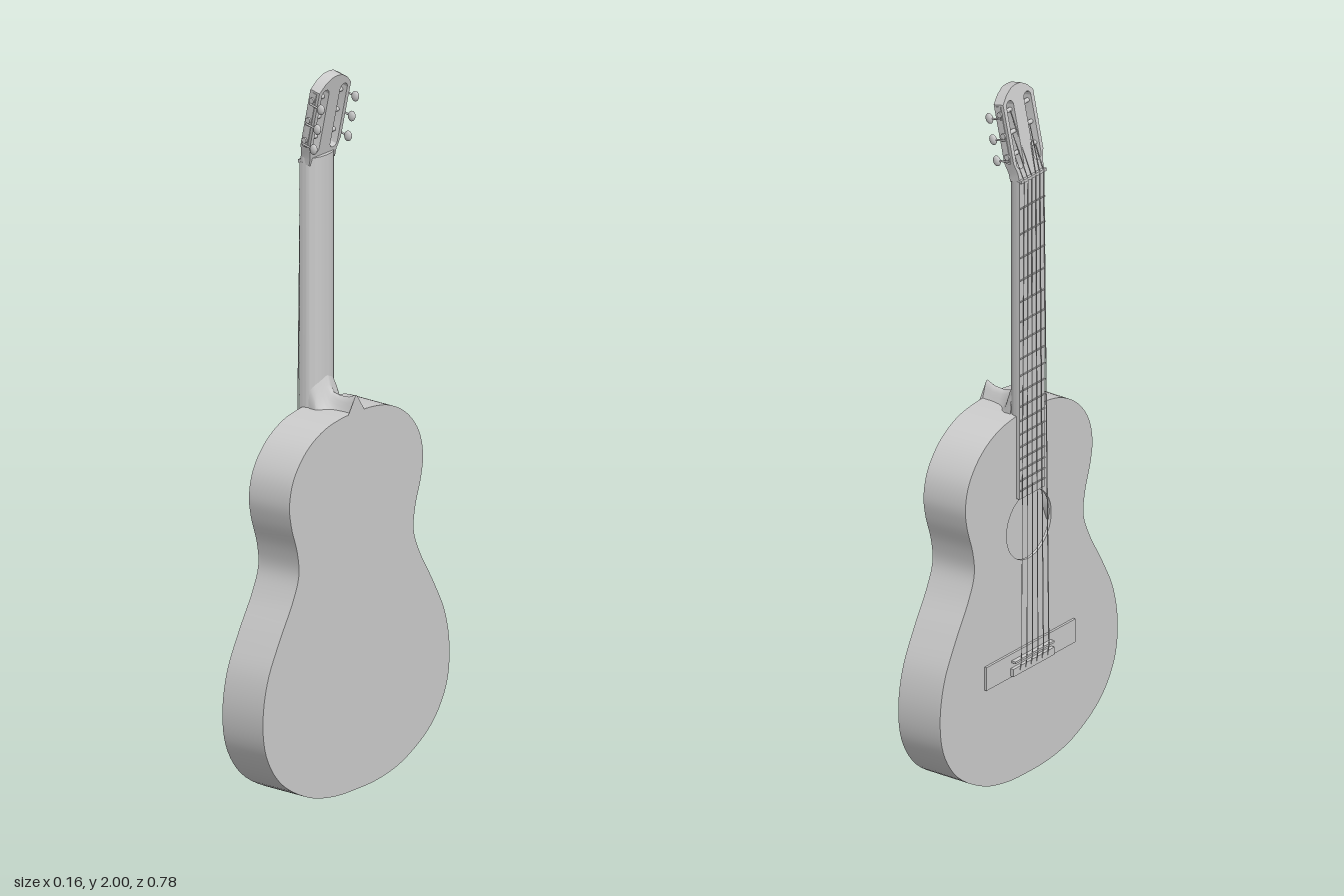
import * as THREE from 'three';
import { toCreasedNormals } from 'three/addons/utils/BufferGeometryUtils.js';

const material = new THREE.MeshStandardMaterial({ color: 0xcccccc });

function add(parent, name, geometry, x = 0, y = 0, z = 0) {
  const mesh = new THREE.Mesh(geometry, material);
  mesh.name = name;
  mesh.position.set(x, y, z);
  parent.add(mesh);
  return mesh;
}

// Box given by its limits in x and y and its half width in z
function slab(parent, name, x0, x1, y0, y1, halfZ, z = 0) {
  return add(parent, name, new THREE.BoxGeometry(x1 - x0, y1 - y0, halfZ * 2),
    (x0 + x1) / 2, (y0 + y1) / 2, z);
}

// Thin cylinder between two points
function rod(parent, name, a, b, radius, sides = 6) {
  const from = new THREE.Vector3(...a), dir = new THREE.Vector3(...b).sub(from);
  const mesh = add(parent, name, new THREE.CylinderGeometry(radius, radius, dir.length(), sides));
  mesh.position.copy(from).addScaledVector(dir, 0.5);
  mesh.quaternion.setFromUnitVectors(new THREE.Vector3(0, 1, 0), dir.normalize());
  return mesh;
}

// Extrudes a (z, y) shape along x
function extrudeX(shape, x0, x1) {
  const g = new THREE.ExtrudeGeometry(shape, { depth: x1 - x0, bevelEnabled: false, curveSegments: 32 });
  g.rotateY(Math.PI / 2).translate(x0, 0, 0);
  return toCreasedNormals(g, 0.5);
}

// Figure-eight body outline, mirrored about its middle line
function bodyOutline(scale = 1) {
  const half = [[0.1, 0.005], [0.2, 0.03], [0.315, 0.1], [0.375, 0.19], [0.39, 0.29], [0.371, 0.4],
    [0.322, 0.5], [0.264, 0.6], [0.24, 0.665], [0.246, 0.73], [0.271, 0.81], [0.279, 0.87],
    [0.262, 0.94], [0.21, 1.005], [0.14, 1.045], [0.07, 1.06]];
  const points = [[0, 0], ...half, [0, 1.063], ...half.map(([z, y]) => [-z, y]).reverse()]
    .map(([z, y]) => new THREE.Vector3(z * scale, 0.53 + (y - 0.53) * scale, 0));
  const curve = new THREE.CatmullRomCurve3(points, true);
  return curve.getPoints(160).slice(0, -1).map(p => new THREE.Vector2(p.x, p.y));
}

// Heel: cross-sections along x, from the full neck width to a pointed ridge
function heelGeometry() {
  const sections = [[-0.04, 1.18, 0.054, 0], [-0.024, 1.15, 0.054, 0.1], [-0.015, 1.12, 0.054, 0.3],
    [0, 1.103, 0.054, 0.55], [0.025, 1.098, 0.052, 0.8], [0.055, 1.1, 0.05, 1], [0.08, 1.111, 0.048, 1]];
  const n = 20, base = 1.04, pos = [], index = [];
  for (const [x, top, w, ridge] of sections) {
    for (let i = 0; i <= n; i++) {
      const s = (i / n) * 2 - 1;
      const bell = Math.exp(-7 * s * s), round = Math.sqrt(1 - s * s * 0.9);
      pos.push(x, base + (top - base) * (bell * ridge + round * (1 - ridge)), s * w);
    }
    pos.push(x, base, w, x, base, -w);
  }
  const m = n + 3, last = (sections.length - 1) * m;
  for (let r = 0; r < sections.length - 1; r++) {
    for (let i = 0; i < m; i++) {
      const a = r * m + i, b = r * m + (i + 1) % m;
      index.push(a, b, b + m, a, b + m, a + m);
    }
  }
  // End cap on the back, as a strip between the ridge and the base
  for (let i = 0; i < n; i++) {
    const t = i < n / 2 ? last + n + 2 : last + n + 1;
    index.push(last + i, t, last + i + 1);
  }
  index.push(last + n / 2, last + n + 2, last + n + 1);
  const g = new THREE.BufferGeometry();
  g.setAttribute('position', new THREE.Float32BufferAttribute(pos, 3));
  g.setIndex(index);
  return toCreasedNormals(g, 0.7);
}

export function createModel() {
  const guitar = new THREE.Group();
  guitar.name = 'guitar';

  // Hollow body: soundboard with round hole, back and ribs
  const body = new THREE.Group();
  body.name = 'body';
  guitar.add(body);
  const board = new THREE.Shape(bodyOutline());
  board.holes.push(new THREE.Path().absarc(0, 0.725, 0.098, 0, Math.PI * 2, true));
  add(body, 'soundboard', extrudeX(board, -0.06, -0.052));
  add(body, 'backPlate', extrudeX(new THREE.Shape(bodyOutline()), 0.072, 0.08));
  const ribs = new THREE.Shape(bodyOutline());
  ribs.holes.push(new THREE.Path(bodyOutline(0.975)));
  add(body, 'ribs', extrudeX(ribs, -0.052, 0.072));

  // Neck: D-shaped section run upwards
  const d = new THREE.Shape();
  d.moveTo(-0.06, -0.055);
  d.lineTo(-0.06, 0.055);
  d.bezierCurveTo(-0.034, 0.055, -0.022, 0.035, -0.022, 0);
  d.bezierCurveTo(-0.022, -0.035, -0.034, -0.055, -0.06, -0.055);
  const neck = new THREE.ExtrudeGeometry(d, { depth: 0.715, bevelEnabled: false, curveSegments: 16 });
  neck.rotateX(-Math.PI / 2).translate(0, 1.05, 0);
  add(guitar, 'neck', toCreasedNormals(neck, 0.5));
  add(guitar, 'heel', heelGeometry()).material = Object.assign(material.clone(), { side: THREE.DoubleSide });

  // Fingerboard, frets and nut
  const nutY = 1.75, scaleLength = 1.4;
  slab(guitar, 'fingerboard', -0.071, -0.06, 0.82, nutY, 0.055);
  for (let i = 1; i <= 18; i++) {
    const y = nutY - scaleLength * (1 - 2 ** (-i / 12));
    slab(guitar, 'fret', -0.0735, -0.07, y - 0.0018, y + 0.0018, 0.054);
  }
  slab(guitar, 'nut', -0.077, -0.058, nutY - 0.004, nutY + 0.005, 0.054);

  // Bridge with tie block and saddle
  slab(guitar, 'bridge', -0.067, -0.06, 0.31, 0.378, 0.195);
  slab(guitar, 'tieBlock', -0.077, -0.066, 0.315, 0.337, 0.09);
  slab(guitar, 'saddle', -0.08, -0.066, 0.352, 0.358, 0.085);

  // Slotted headstock, tilted back
  const head = new THREE.Group();
  head.name = 'headstock';
  head.position.set(-0.07, nutY, 0);
  head.rotation.z = -0.21;
  guitar.add(head);
  const right = [[0.054, 0], [0.055, 0.025], [0.065, 0.055], [0.066, 0.222], [0.045, 0.243], [0.02, 0.257], [0, 0.259]];
  const headShape = new THREE.Shape([...right, ...right.slice(0, -1).map(([z, y]) => [-z, y]).reverse()]
    .map(p => new THREE.Vector2(...p)));
  for (const side of [-1, 1]) {
    const slot = new THREE.Path();
    slot.absarc(side * 0.038, 0.21, 0.015, 0, Math.PI, false);
    slot.absarc(side * 0.038, 0.048, 0.015, Math.PI, Math.PI * 2, false);
    slot.closePath();
    headShape.holes.push(slot);
  }
  add(head, 'headPlate', extrudeX(headShape, 0, 0.032));

  // Tuners: side plate, and a roller, shaft and button for each string
  const buttonGeometry = new THREE.SphereGeometry(1, 14, 10).scale(0.012, 0.015, 0.007);
  for (const side of [-1, 1]) {
    slab(head, 'tunerPlate', 0.009, 0.024, 0.055, 0.217, 0.001, side * 0.067);
    for (const y of [0.075, 0.135, 0.195]) {
      rod(head, 'roller', [0.014, y, side * 0.02], [0.014, y, side * 0.07], 0.006, 12);
      rod(head, 'gear', [0.014, y, side * 0.068], [0.014, y, side * 0.073], 0.008, 12);
      rod(head, 'tunerShaft', [0.01, y - 0.011, side * 0.072], [0.045, y - 0.011, side * 0.072], 0.0028, 8);
      add(head, 'tunerButton', buttonGeometry, 0.05, y - 0.011, side * 0.072);
    }
  }

  // Strings: tie block to saddle to nut, then on to the rollers
  for (let i = 0; i < 6; i++) {
    const s = (i - 2.5) / 2.5, side = Math.sign(s), radius = 0.0009 + i * 0.00012;
    const rank = i < 3 ? i : 5 - i;
    rod(guitar, 'string', [-0.077, 0.325, s * 0.06], [-0.081, 0.355, s * 0.06], radius);
    rod(guitar, 'string', [-0.081, 0.355, s * 0.06], [-0.077, nutY, s * 0.043], radius);
    rod(head, 'string', [-0.007, 0, s * 0.043],
      [0.009, 0.075 + rank * 0.06, side * (0.045 - rank * 0.007)], radius);
  }
  return guitar;
}
